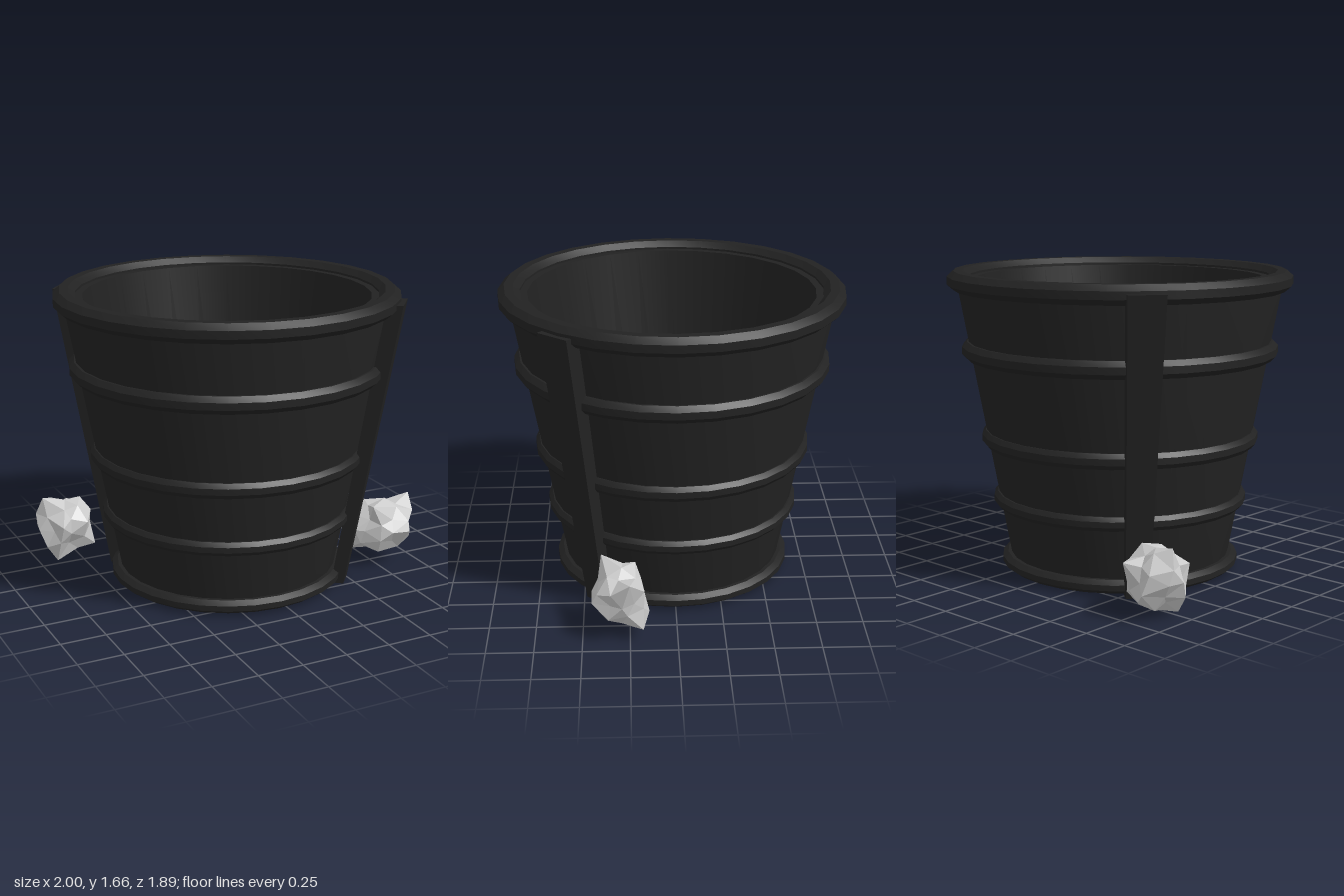
import * as THREE from 'three';
import { toCreasedNormals } from 'three/addons/utils/BufferGeometryUtils.js';

const SIDES = 28;
const dark = new THREE.MeshStandardMaterial({ color: 0x222222 });
const paper = new THREE.MeshStandardMaterial({ color: 0xcccccc, flatShading: true, side: THREE.DoubleSide });

function lathe(name, points) {
  const profile = points.map(([r, y]) => new THREE.Vector2(r, y));
  const geometry = toCreasedNormals(new THREE.LatheGeometry(profile, SIDES), 0.5);
  const mesh = new THREE.Mesh(geometry, dark);
  mesh.name = name;
  return mesh;
}

// Octagonal hoop around the bin
function hoop(name, radius, y, rx, ry) {
  const points = [];
  for (let i = 0; i <= 8; i++) {
    const a = ((i + 0.5) / 8) * Math.PI * 2;
    const k = 1 / Math.cos(Math.PI / 8);
    points.push([radius + Math.cos(a) * rx * k, y + Math.sin(a) * ry * k]);
  }
  return lathe(name, points);
}

// Tapered slat that leans out along the wall
function strap(name, angle) {
  const geometry = new THREE.BoxGeometry(1, 1, 1);
  const p = geometry.attributes.position;
  for (let i = 0; i < p.count; i++) {
    const t = p.getY(i) + 0.5;
    const outer = THREE.MathUtils.lerp(0.685, 0.97, t);
    const depth = THREE.MathUtils.lerp(0.07, 0.09, t);
    p.setXYZ(i, p.getX(i) * THREE.MathUtils.lerp(0.125, 0.195, t), t * 1.615, outer + (p.getZ(i) - 0.5) * depth);
  }
  geometry.computeVertexNormals();
  const mesh = new THREE.Mesh(geometry, dark);
  mesh.name = name;
  mesh.rotation.y = angle;
  return mesh;
}

function seeded(seed) {
  let s = seed;
  return () => (s = (s * 16807) % 2147483647) / 2147483647;
}

// Crumpled ball: jittered sphere with pulled corners, fitted to a box
function paperBall(name, seed, min, max, corners) {
  const rand = seeded(seed * 7919);
  const lo = new THREE.Vector3(...min), hi = new THREE.Vector3(...max);
  const center = lo.clone().add(hi).multiplyScalar(0.5);
  const half = hi.clone().sub(lo).multiplyScalar(0.5);
  const geometry = new THREE.IcosahedronGeometry(1, 1);
  const p = geometry.attributes.position;
  const unique = new Map();
  const key = (i) => [p.getX(i), p.getY(i), p.getZ(i)].map((v) => Math.round(v * 1000)).join();
  const keys = [];
  for (let i = 0; i < p.count; i++) {
    keys.push(key(i));
    if (!unique.has(keys[i])) {
      unique.set(keys[i], { dir: new THREE.Vector3().fromBufferAttribute(p, i), pos: null });
    }
  }
  const verts = [...unique.values()];
  for (const v of verts) {
    v.pos = v.dir.clone().multiplyScalar(0.74 + rand() * 0.3);
    v.pos.x += (rand() - 0.5) * 0.2;
    v.pos.z += (rand() - 0.5) * 0.2;
    v.pos.multiply(half).add(center);
  }
  for (const c of corners) {
    const target = new THREE.Vector3(...c);
    const dir = target.clone().sub(center).divide(half).normalize();
    const free = verts.filter((v) => !v.used);
    const best = free.reduce((a, b) => (a.dir.dot(dir) > b.dir.dot(dir) ? a : b));
    best.pos.copy(target);
    best.used = true;
  }
  keys.forEach((k, i) => {
    const v = unique.get(k).pos.clone().clamp(lo, hi);
    p.setXYZ(i, v.x, v.y, v.z);
  });
  geometry.computeVertexNormals();
  const mesh = new THREE.Mesh(geometry, paper);
  mesh.name = name;
  return mesh;
}

export function createModel() {
  const model = new THREE.Group();
  model.name = 'wasteBin';

  // Bin: outer wall, lip, inner wall and floor in one profile
  const bin = new THREE.Group();
  bin.name = 'bin';
  bin.position.x = -0.055;
  bin.add(lathe('shell', [
    [0, 0.015], [0.6, 0.015], [0.892, 1.6], [0.892, 1.62], [0.785, 1.62], [0.575, 0.12], [0, 0.12],
  ]));
  bin.add(hoop('rim', 0.885, 1.61, 0.06, 0.052));
  [
    [0.825, 1.23, 0.045, 0.047],
    [0.735, 0.745, 0.033, 0.042],
    [0.672, 0.4, 0.034, 0.038],
    [0.612, 0.048, 0.051, 0.037],
  ].forEach((h, i) => bin.add(hoop('hoop' + (i + 1), ...h)));
  const angle = THREE.MathUtils.degToRad(50.3);
  bin.add(strap('frontStrap', angle), strap('backStrap', angle + Math.PI));
  model.add(bin);

  // Crumpled paper on the floor outside
  model.add(paperBall('paperOutsideLeft', 3, [0.59, 0.07, 0.147], [1, 0.39, 0.453], [
    [1, 0.38, 0.25], [0.67, 0.39, 0.4], [0.91, 0.07, 0.18], [0.59, 0.1, 0.25],
    [0.89, 0.22, 0.45], [0.72, 0.37, 0.22], [0.8, 0.12, 0.147],
  ]));
  model.add(paperBall('paperOutsideRight', 5, [-0.995, 0.02, -0.75], [-0.67, 0.385, -0.4], [
    [-0.955, 0.38, -0.6], [-0.67, 0.08, -0.52], [-0.91, 0.02, -0.5], [-0.99, 0.28, -0.63],
    [-0.76, 0.3, -0.75], [-0.9, 0.25, -0.4], [-0.875, 0.15, -0.74],
  ]));

  // Crumpled paper inside
  model.add(paperBall('paperInsideLarge', 8, [0.05, 0.12, -0.37], [0.49, 0.56, 0.18], [
    [0.14, 0.35, -0.32], [0.43, 0.38, -0.36], [0.49, 0.3, -0.22], [0.45, 0.35, 0.18],
    [0.06, 0.25, 0.05], [0.05, 0.4, -0.16], [0.33, 0.56, -0.15],
  ]));
  model.add(paperBall('paperInsideFront', 11, [-0.36, 0.12, 0.1], [0.18, 0.53, 0.55], [
    [-0.31, 0.35, 0.14], [-0.12, 0.4, 0.1], [0.13, 0.35, 0.18], [0.18, 0.25, 0.5],
    [-0.2, 0.3, 0.55], [-0.36, 0.25, 0.45], [-0.08, 0.53, 0.3],
  ]));
  model.add(paperBall('paperInsideBack', 14, [-0.25, 0.12, -0.57], [0.09, 0.45, -0.21], [
    [-0.18, 0.35, -0.56], [-0.05, 0.35, -0.57], [-0.25, 0.3, -0.42], [-0.17, 0.25, -0.21],
    [0.09, 0.25, -0.33], [-0.08, 0.45, -0.4],
  ]));
  return model;
}
